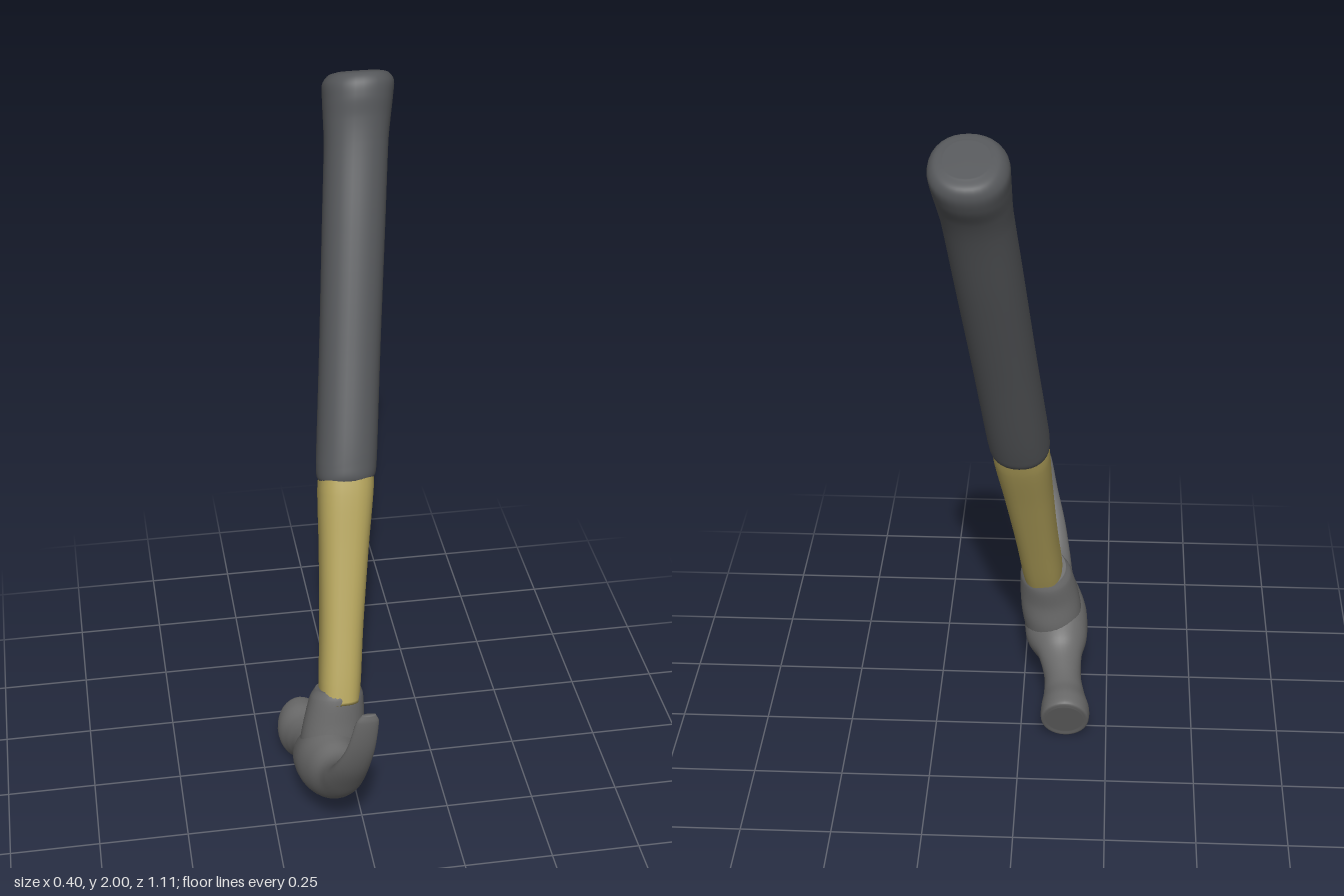
import * as THREE from 'three';

const SIDES = 32;

// Smooth closed loft. Each row: [zA, yA, zB, yB, x, halfWidth], where A and B
// are opposite edges of the section and x is its centre; power > 2 squares it.
function loft(name, color, rows, steps, power = 2) {
  const spline = (f) => new THREE.CatmullRomCurve3(rows.map(f));
  const edgeA = spline((r) => new THREE.Vector3(r[4], r[1], r[0]));
  const edgeB = spline((r) => new THREE.Vector3(r[4], r[3], r[2]));
  const width = spline((r, i) => new THREE.Vector3(r[5], i * 0.05, 0));
  const round = (v) => Math.sign(v) * Math.pow(Math.abs(v), 2 / power);
  const pos = [], index = [], ends = [];
  for (let i = 0; i <= steps; i++) {
    const t = i / steps;
    const a = edgeA.getPoint(t), b = edgeB.getPoint(t), w = width.getPoint(t).x;
    const c = a.clone().add(b).multiplyScalar(0.5);
    const u = a.clone().sub(c);
    if (i === 0 || i === steps) ends.push(c);
    for (let j = 0; j < SIDES; j++) {
      const ang = (j / SIDES) * Math.PI * 2;
      const p = c.clone().addScaledVector(u, round(Math.cos(ang)));
      pos.push(p.x + w * round(Math.sin(ang)), p.y, p.z);
    }
  }
  const first = pos.length / 3, last = first + 1;
  ends.forEach((c) => pos.push(c.x, c.y, c.z));
  for (let j = 0; j < SIDES; j++) {
    const k = (j + 1) % SIDES, top = steps * SIDES;
    for (let i = 0; i < steps; i++) {
      const p = i * SIDES, q = p + SIDES;
      index.push(p + j, p + k, q + k, p + j, q + k, q + j);
    }
    index.push(first, k, j, last, top + j, top + k);
  }
  const geo = new THREE.BufferGeometry();
  geo.setAttribute('position', new THREE.Float32BufferAttribute(pos, 3));
  geo.setIndex(index);
  geo.computeVertexNormals();
  const mesh = new THREE.Mesh(geo, new THREE.MeshStandardMaterial({ color }));
  mesh.name = name;
  return mesh;
}

// Section square to the leaning handle axis, from height, half depth, half width
function handleRow([y, depth, halfWidth]) {
  const z = 0.19 - 0.4257 * (y - 0.435);
  const x = -0.055 + 0.102 * (y - 0.435);
  const dz = 0.92 * depth, dy = 0.392 * depth;
  return [z + dz, y + dy, z - dz, y - dy, x, halfWidth];
}

export function createModel() {
  const group = new THREE.Group();
  group.name = 'clawHammer';

  // Dark rubber grip with a flared butt
  group.add(loft('grip', 0x55575a, [
    [0.965, 0.07, 0.068], [0.98, 0.082, 0.08], [1.02, 0.086, 0.083],
    [1.3, 0.085, 0.083], [1.6, 0.087, 0.085], [1.8, 0.088, 0.086],
    [1.86, 0.094, 0.09], [1.91, 0.105, 0.094], [1.945, 0.104, 0.095],
    [1.965, 0.09, 0.08], [1.972, 0.06, 0.054],
  ].map(handleRow), 80, 2.2));

  // Exposed shaft, slightly squared and tapering to the head
  group.add(loft('shaft', 0xb0a05a, [
    [0.4, 0.07, 0.056], [0.46, 0.072, 0.058], [0.6, 0.073, 0.06],
    [0.8, 0.076, 0.068], [0.94, 0.08, 0.076], [0.99, 0.078, 0.074],
  ].map(handleRow), 40, 2.6));

  // Socket that receives the shaft
  group.add(loft('socket', 0x6a6a6a, [
    [0.28, 0.18, 0.15, 0.17, -0.092, 0.08],
    [0.295, 0.29, 0.135, 0.25, -0.082, 0.088],
    [0.28, 0.37, 0.135, 0.32, -0.073, 0.084],
    [0.265, 0.44, 0.125, 0.385, -0.064, 0.074],
    [0.252, 0.462, 0.127, 0.41, -0.06, 0.062],
  ], 32));

  // Head: striking face, narrow neck, thick middle, then the curved claw
  group.add(loft('head', 0x6a6a6a, [
    [-0.054, 0.025, -0.108, 0.15, -0.13, 0.053],
    [-0.046, 0.005, -0.11, 0.168, -0.13, 0.068],
    [-0.02, 0.012, -0.07, 0.178, -0.13, 0.07],
    [0.02, 0.04, -0.01, 0.175, -0.126, 0.06],
    [0.07, 0.072, 0.05, 0.188, -0.12, 0.054],
    [0.14, 0.105, 0.115, 0.22, -0.11, 0.064],
    [0.2, 0.098, 0.165, 0.29, -0.098, 0.09],
    [0.26, 0.108, 0.24, 0.34, -0.094, 0.092],
    [0.33, 0.15, 0.305, 0.342, -0.088, 0.078],
    [0.4, 0.22, 0.36, 0.335, -0.08, 0.062],
    [0.455, 0.3, 0.41, 0.355, -0.075, 0.055],
    [0.512, 0.4, 0.465, 0.415, -0.065, 0.047],
    [0.546, 0.5, 0.512, 0.495, -0.05, 0.038],
    [0.56, 0.6, 0.535, 0.595, -0.037, 0.03],
    [0.557, 0.622, 0.543, 0.62, -0.034, 0.018],
  ], 98));

  return group;
}
